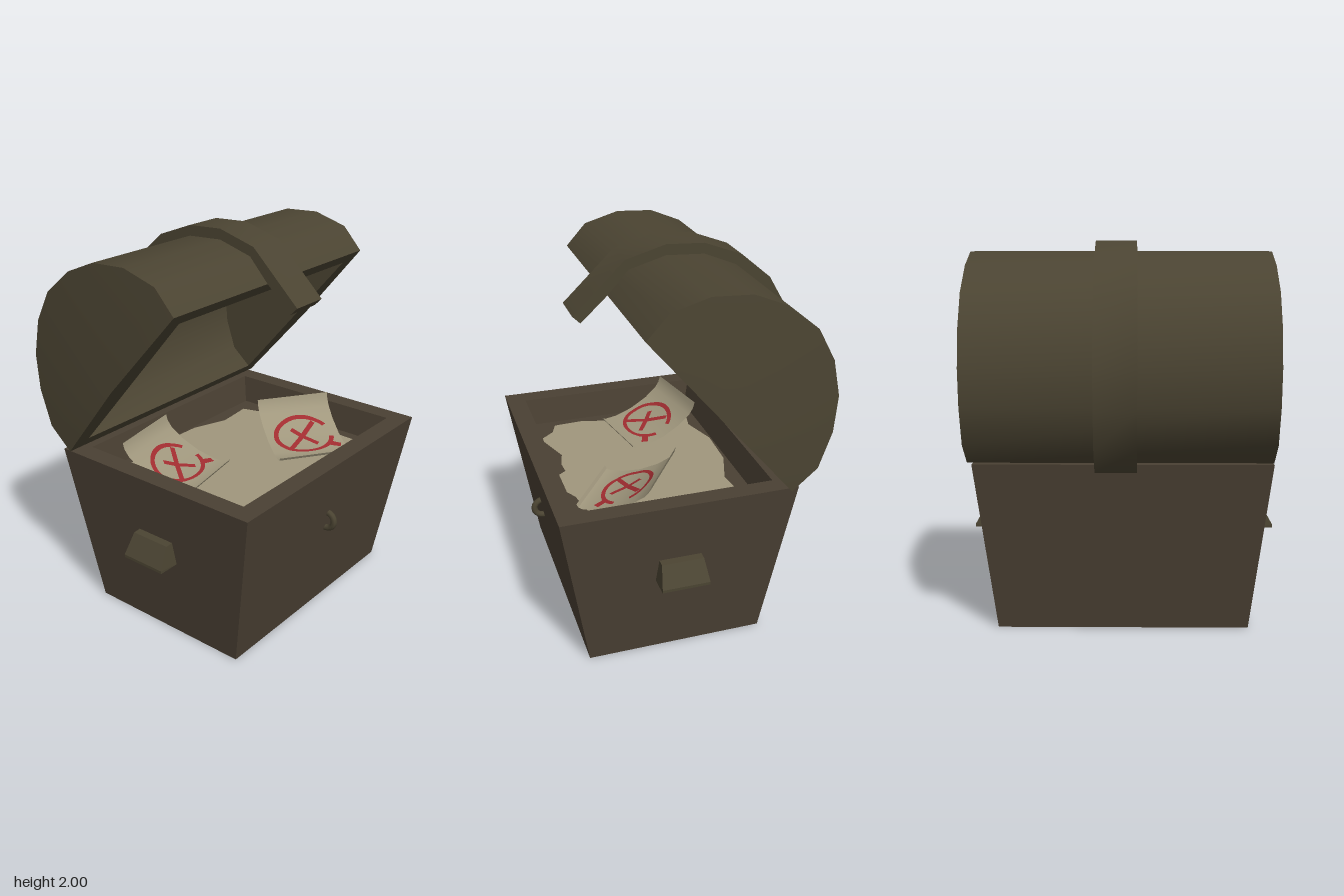
import * as THREE from 'three';
import { toCreasedNormals } from 'three/addons/utils/BufferGeometryUtils.js';

const paint = (name, color) =>
  new THREE.MeshStandardMaterial({ name, color, side: THREE.DoubleSide });

// Surface through rows of equally many [x, y, z] points
function grid(rows, crease = 0.1) {
  const n = rows[0].length, index = [];
  for (let r = 0; r < rows.length - 1; r++)
    for (let c = 0; c < n - 1; c++) {
      const a = r * n + c, b = a + 1, d = a + n, e = d + 1;
      index.push(a, b, e, a, e, d);
    }
  const g = new THREE.BufferGeometry();
  g.setAttribute('position', new THREE.Float32BufferAttribute(rows.flat(2), 3));
  g.setIndex(index);
  return toCreasedNormals(g, crease);
}

export function createModel() {
  const model = new THREE.Group();
  model.name = 'openChest';
  const bodyMat = paint('dark wood', 0x4a4033);
  const lidMat = paint('olive wood', 0x4b4432);
  const paperMat = paint('old paper', 0xa0977d);
  const redMat = paint('red ink', 0xa02c30);

  const add = (name, geometry, material, parent = model) => {
    const mesh = new THREE.Mesh(geometry, material);
    mesh.name = name;
    parent.add(mesh);
    return mesh;
  };

  // Chest body: flared walls open below, rim, inner walls and a raised floor
  const rect = (x0, x1, z0, z1, y) =>
    [[x0, y, z1], [x1, y, z1], [x1, y, z0], [x0, y, z0], [x0, y, z1]];
  const floorY = 0.74;
  add('body', grid([
    rect(-0.66, 0.64, -0.36, 0.57, 0),
    rect(-0.76, 0.74, -0.5, 0.715, 0.89),
    rect(-0.655, 0.64, -0.4, 0.61, 0.89),
    rect(-0.63, 0.615, -0.37, 0.575, floorY),
    rect(-0.01, -0.01, 0.1, 0.1, floorY),
  ]), bodyMat);

  // Pale layer spread over the floor
  const spread = [
    [-0.58, 0.3], [-0.57, 0.46], [-0.49, 0.49], [-0.42, 0.573], [-0.35, 0.55], [-0.2, 0.5],
    [-0.1, 0.525], [-0.02, 0.52], [0.02, 0.573], [0.18, 0.573], [0.26, 0.53], [0.42, 0.5],
    [0.55, 0.46], [0.56, 0.25], [0.52, 0.1], [0.56, -0.1], [0.5, -0.3], [0.3, -0.28],
    [0.1, -0.35], [-0.15, -0.36], [-0.35, -0.3], [-0.53, -0.34], [-0.58, -0.1], [-0.53, 0.1],
  ].map(p => new THREE.Vector2(...p));
  const spreadGeo = new THREE.ShapeGeometry(new THREE.Shape(spread));
  spreadGeo.rotateX(Math.PI / 2).translate(0, floorY + 0.004, 0);
  add('floorPaper', spreadGeo, paperMat);

  // Lid: polygonal barrel section as [z, y], hinged open
  const arc = [[0.3, 1.77], [0.19, 1.89], [0, 1.945], [-0.2, 1.935], [-0.37, 1.865], [-0.53, 1.735],
    [-0.62, 1.57], [-0.66, 1.38], [-0.645, 1.19], [-0.58, 1.0], [-0.45, 0.89]];
  const mid = [-0.075, 1.33];
  const inner = arc.map(p => p.map((v, k) => mid[k] + 0.865 * (v - mid[k])));
  const at = (x, [z, y]) => [x, y, z];
  const lid = new THREE.Group();
  lid.name = 'lid';
  model.add(lid);
  add('lidShell', grid(arc.map(p =>
    [at(-0.81, mid), at(-0.765, p), at(0.77, p), at(0.81, mid)]), 0.6), lidMat, lid);
  add('lidLining', grid(inner.map(p =>
    [at(0.675, mid), at(0.675, p), at(-0.675, p), at(-0.675, mid)]), 0.6), lidMat, lid);
  const rim = (w, wMid, a, b) => [at(w, a), at(wMid, mid), at(w, b),
    at(-w, b), at(-wMid, mid), at(-w, a), at(w, a)];
  add('lidRim', grid([
    rim(0.765, 0.81, arc[0], arc.at(-1)),
    rim(0.675, 0.675, inner[0], inner.at(-1)),
  ]), lidMat, lid);

  // Strap over the lid, ending in a hasp at the front
  const strapOuter = [[0.48, 1.68], [0.21, 1.94], [0, 2], [-0.2, 1.99], [-0.4, 1.915], [-0.56, 1.78],
    [-0.665, 1.6], [-0.717, 1.38], [-0.7, 1.18], [-0.63, 0.98], [-0.5, 0.85]];
  const strapLoop = [...strapOuter, ...[...arc].reverse(), [0.44, 1.64]]
    .map(p => new THREE.Vector2(...p));
  const strapGeo = new THREE.ExtrudeGeometry(new THREE.Shape(strapLoop),
    { depth: 0.21, bevelEnabled: false });
  strapGeo.rotateY(-Math.PI / 2).translate(0.13, 0, 0);
  add('strap', toCreasedNormals(strapGeo, 0.6), lidMat, lid);

  // Lock ring on the front
  const ring = add('lockRing', new THREE.TorusGeometry(0.046, 0.017, 8, 16), lidMat);
  ring.rotation.y = Math.PI / 2;
  ring.position.set(-0.01, 0.548, 0.657);

  // Side handles: sloping hoods, hollow underneath
  for (const s of [1, -1]) {
    const p = (x, y, z) => [-0.01 + s * x, y, z];
    const section = z0 => [p(0.695, 0.45, z0), p(0.815, 0.45, z0), p(0.815, 0.465, z0)];
    const cap = z => [p(0.755, 0.572, z), p(0.71, 0.575, z)];
    const handle = new THREE.Group();
    handle.name = s > 0 ? 'leftHandle' : 'rightHandle';
    model.add(handle);
    const back = [...section(-0.02), ...cap(-0.005)];
    const front = [...section(0.23), ...cap(0.215)];
    add('hood', grid([back.slice(1), front.slice(1)], 0.1), lidMat, handle);
    for (const side of [back, front])
      add('handleEnd', grid([side, side.map(() => side[0])]), lidMat, handle);
  }

  // Curled maps: flat pieces bent along a shared profile of [z, y]
  const profile = [[-0.2, 0.955], [-0.19, 0.92], [-0.165, 0.885], [-0.1, 0.835], [0, 0.785],
    [0.1, 0.757], [0.17, 0.752], [0.19, 0.758], [0.2, 0.775]];
  const height = z => {
    const i = Math.max(1, profile.findIndex(p => p[0] >= z - 1e-6));
    const [a, b] = [profile[i - 1], profile[i]];
    return a[1] + (b[1] - a[1]) * (z - a[0]) / (b[0] - a[0]);
  };
  const bend = (g, lift) => {
    const pos = g.attributes.position;
    for (let i = 0; i < pos.count; i++) pos.setY(i, height(pos.getZ(i)) + lift);
    g.computeVertexNormals();
    return g;
  };
  const stroke = (length, width, angle, x, z) =>
    new THREE.PlaneGeometry(length, width, 16, 2).rotateX(-Math.PI / 2).rotateY(angle).translate(x, 0, z);

  const addMap = (name, x, z, turn) => {
    const map = new THREE.Group();
    map.name = name;
    map.position.set(x, 0, z);
    map.rotation.y = turn;
    model.add(map);
    add('sheet', grid(profile.map(([pz, py]) => [[-0.21, py, pz], [0.21, py, pz]]), 0.7), paperMat, map);
    // Inked oval with crossing strokes
    const oval = new THREE.RingGeometry(0.135, 0.16, 40, 3, 0.5, 5.6)
      .rotateX(-Math.PI / 2).scale(1.08, 1, 0.82);
    add('inkOval', bend(oval, 0.006), redMat, map);
    add('inkStroke', bend(stroke(0.25, 0.026, 0.75, -0.01, 0), 0.006), redMat, map);
    add('inkStroke', bend(stroke(0.17, 0.026, -0.8, 0, 0.01), 0.007), redMat, map);
    add('inkTail', bend(stroke(0.07, 0.035, -0.5, 0.15, 0.09), 0.007), redMat, map);
  };
  addMap('rightMap', -0.376, -0.05, 0.183);
  addMap('leftMap', 0.326, 0.269, -0.607);

  return model;
}
